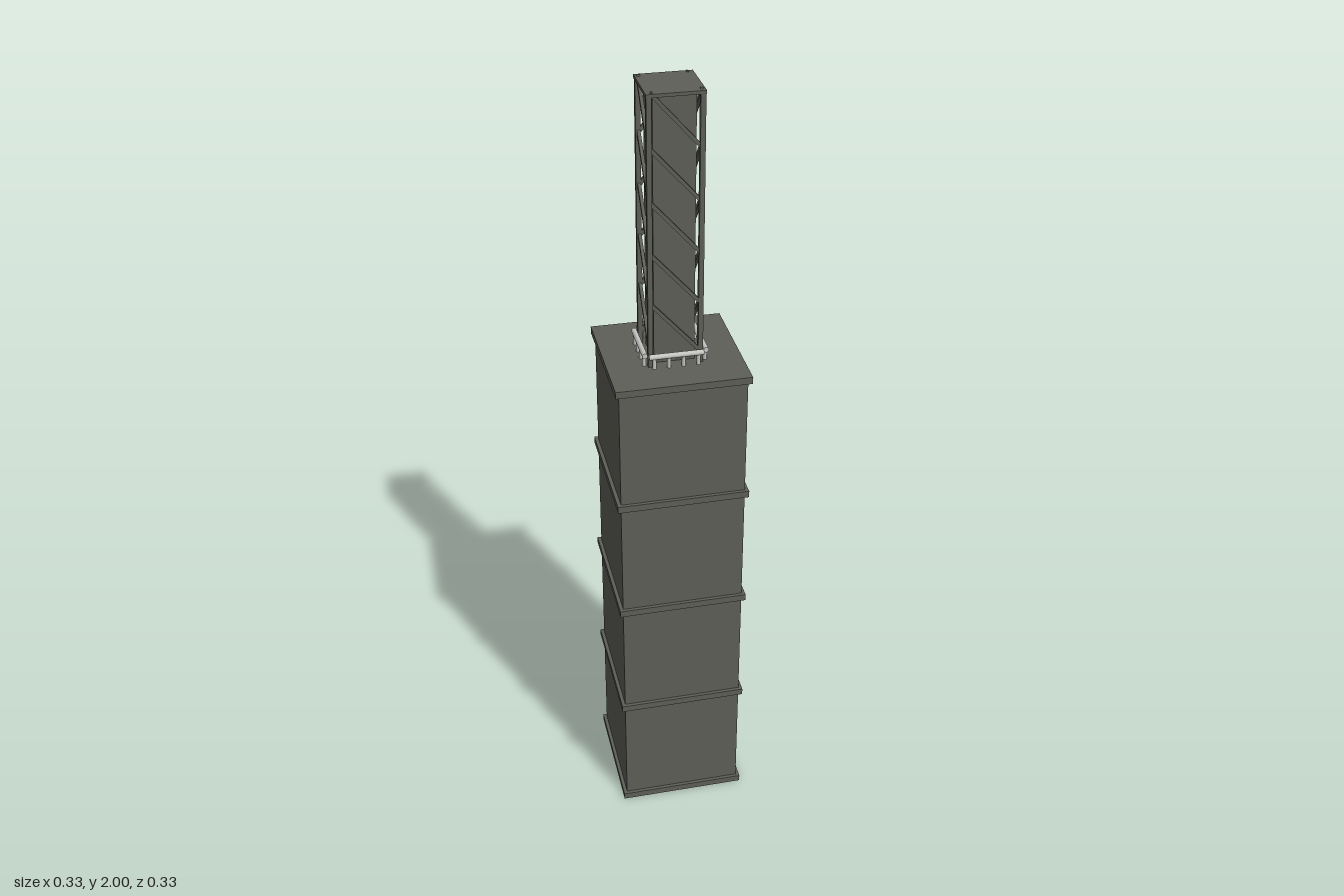
import * as THREE from 'three';

const steel = new THREE.MeshStandardMaterial({ color: 0x5f5f59 });
steel.name = 'dark steel';
const rail = new THREE.MeshStandardMaterial({ color: 0xc6c7c3 });
rail.name = 'pale rail';

export function createModel() {
  const model = new THREE.Group();
  model.name = 'tower';

  const add = (parent, name, geometry, material, x, y, z) => {
    const mesh = new THREE.Mesh(geometry, material);
    mesh.name = name;
    mesh.position.set(x, y, z);
    parent.add(mesh);
    return mesh;
  };
  const box = (parent, name, w, h, d, x, y, z, material = steel) =>
    add(parent, name, new THREE.BoxGeometry(w, h, d), material, x, y, z);

  // Stacked shaft with a projecting band at every storey
  box(model, 'shaft', 0.314, 1.315, 0.314, 0, 0.665, 0);
  for (let i = 0; i < 5; i++) {
    box(model, 'storeyBand', 0.332, 0.018, 0.332, 0, 0.009 + i * 0.327, 0);
  }

  // Mast core and cap
  const bottom = 1.326, top = 2;
  box(model, 'mastCore', 0.1, top - bottom - 0.004, 0.1, 0, (top + bottom) / 2, 0);
  box(model, 'mastCap', 0.136, 0.008, 0.136, 0, top - 0.004, 0);

  // One lattice face and its guard rail, repeated around the mast
  const bays = 5, latticeBottom = 1.36, bay = (top - latticeBottom) / bays;
  for (let side = 0; side < 4; side++) {
    const face = new THREE.Group();
    face.name = 'latticeFace';
    face.rotation.y = side * Math.PI / 2;
    model.add(face);

    box(face, 'cornerPost', 0.012, top - bottom, 0.012, 0.061, (top + bottom) / 2, 0.061);

    // Diagonals fall from the face's left to its right
    const run = 0.114;
    for (let i = 0; i < bays; i++) {
      const brace = box(face, 'diagonalBrace', Math.hypot(run, bay), 0.009, 0.008,
        0, latticeBottom + (i + 0.5) * bay, 0.06);
      brace.rotation.z = -Math.atan2(bay, run);
    }

    // Guard rail with short stanchions
    const bar = add(face, 'guardRail', new THREE.CylinderGeometry(0.007, 0.007, 0.134, 10), rail, 0, 1.357, 0.075);
    bar.rotation.z = Math.PI / 2;
    for (let i = 0; i < 4; i++) {
      add(face, 'railStanchion', new THREE.CylinderGeometry(0.005, 0.005, 0.028, 8), rail,
        -0.054 + i * 0.036, 1.34, 0.075);
    }
  }
  return model;
}
